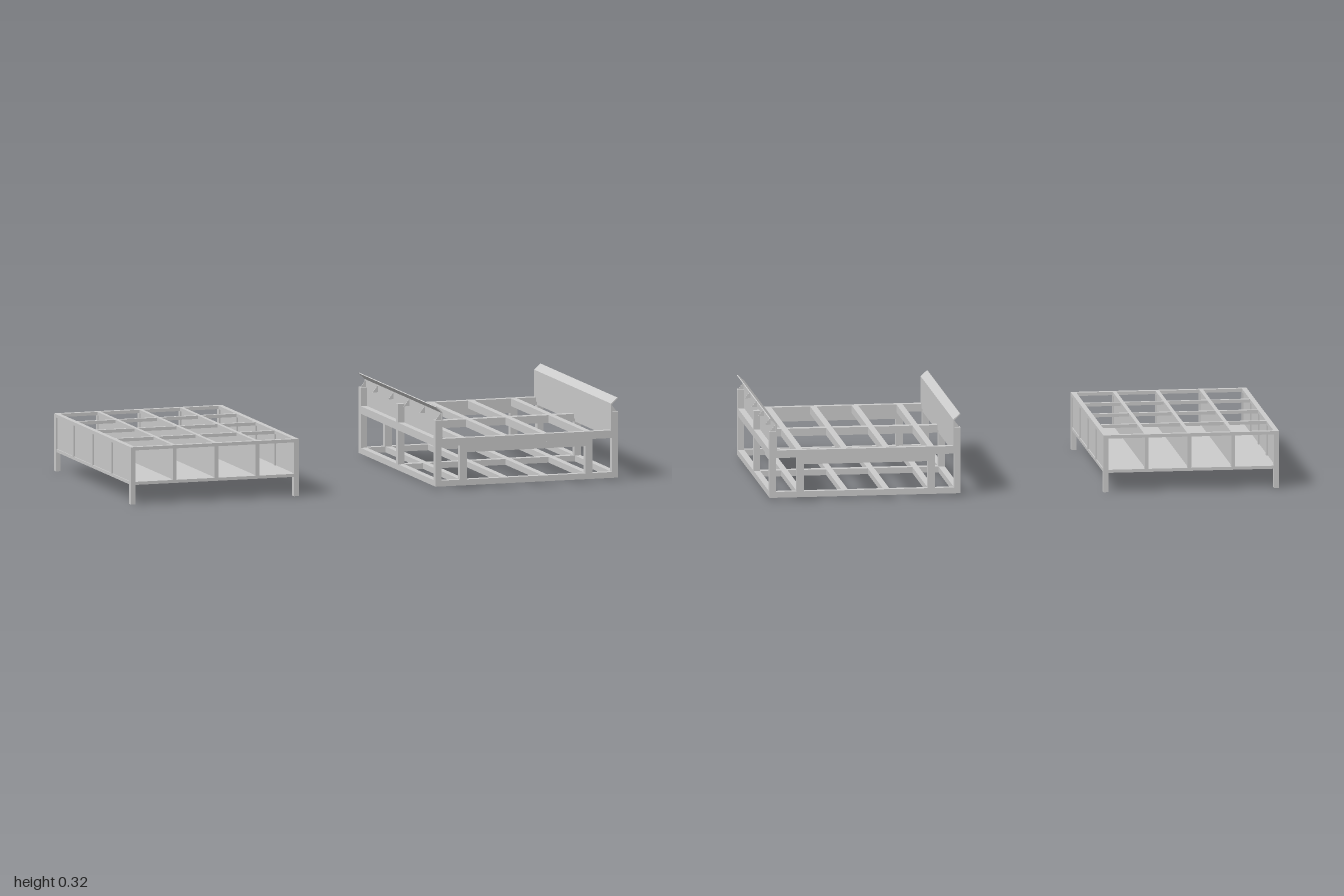
import * as THREE from 'three';

const material = new THREE.MeshStandardMaterial({ color: 0xcccccc, flatShading: true, side: THREE.DoubleSide });

// Box given by its extents on each axis
function bar(parent, name, [x0, x1], [y0, y1], [z0, z1]) {
  const mesh = new THREE.Mesh(new THREE.BoxGeometry(x1 - x0, y1 - y0, z1 - z0), material);
  mesh.position.set((x0 + x1) / 2, (y0 + y1) / 2, (z0 + z1) / 2);
  mesh.name = name;
  parent.add(mesh);
  return mesh;
}

// Profile in x and y, extruded along z
function extrusion(parent, name, points, z0, z1) {
  const shape = new THREE.Shape(points.map(([x, y]) => new THREE.Vector2(x, y)));
  const mesh = new THREE.Mesh(new THREE.ExtrudeGeometry(shape, { depth: z1 - z0, bevelEnabled: false }), material);
  mesh.position.z = z0;
  mesh.name = name;
  parent.add(mesh);
}

const around = (c, w) => [c - w / 2, c + w / 2];
const span = (a, b) => [Math.min(a, b), Math.max(a, b)];

// Open-topped tray with sixteen cells, standing on four legs
function createTray() {
  const tray = new THREE.Group();
  tray.name = 'dividedTray';
  const X = [-1, -0.31], Z = [-0.47, 0.465], top = [0.212, 0.225];
  const t = 0.02;

  bar(tray, 'floorPanel', [-0.998, -0.312], [0.076, 0.088], [-0.468, 0.463]);
  for (const x of [X[0], X[1] - t]) {
    for (const z of [Z[0], Z[1] - 0.025]) bar(tray, 'leg', [x, x + t], [0, 0.225], [z, z + 0.025]);
    bar(tray, 'sideTopRail', [x, x + t], top, Z);
    bar(tray, 'sidePanel', around(x + t / 2, 0.008), [0.088, 0.212], Z);
    for (const z of [-0.24, -0.007, 0.224]) bar(tray, 'sidePost', [x, x + t], [0.088, 0.212], around(z, 0.015));
  }
  for (const z of [Z[0], Z[1] - t]) bar(tray, 'endTopRail', X, top, [z, z + t]);

  // Lengthwise dividers with their end posts and top bars
  for (const x of [-0.82, -0.648, -0.48]) {
    bar(tray, 'divider', around(x, 0.006), [0.088, 0.212], Z);
    bar(tray, 'dividerTopBar', around(x, 0.015), top, Z);
    for (const z of [Z[0], Z[1] - t]) bar(tray, 'dividerPost', around(x, 0.015), [0.088, 0.212], [z, z + t]);
  }
  for (const z of [-0.24, -0.007, 0.224]) bar(tray, 'crossBar', X, top, around(z, 0.015));
  return tray;
}

// Two-level bar frame with raised side boards
function createBedFrame() {
  const bed = new THREE.Group();
  bed.name = 'bedFrame';
  const cx = 0.625, hx = 0.375, w = 0.025;
  const X = [cx - hx, cx + hx], Z = [-0.465, 0.47];
  const levels = [[0.01, 0.033], [0.167, 0.197]];

  // Rails, lengthwise bars and the middle cross bar on both levels
  for (const y of levels) {
    for (const z of [Z[0], Z[1] - w]) bar(bed, 'endRail', X, y, [z, z + w]);
    for (const x of [X[0], X[1] - w]) bar(bed, 'sideRail', [x, x + w], y, Z);
    for (const x of [0.365, 0.54, 0.703, 0.88]) bar(bed, 'lengthwiseBar', around(x, 0.025), y, Z);
    bar(bed, 'middleCrossBar', X, y, around(0.002, 0.03));
  }

  // Short posts and the lower rail between them at each end
  for (const z of [Z[0], Z[1] - w]) {
    for (const x of [0.365, 0.88]) bar(bed, 'endPost', around(x, 0.028), [0.033, 0.167], [z, z + w]);
    bar(bed, 'lowerEndRail', [0.379, 0.866], [0.14, 0.167], [z, z + w]);
  }

  for (const s of [-1, 1]) {
    const outer = cx + s * hx, inner = outer - s * w;
    for (const z of [Z[0] + 0.014, 0.002, Z[1] - 0.014]) {
      bar(bed, 'sidePost', span(outer, inner), [0.01, 0.27], around(z, 0.028));
    }

    // Side board with a flange leaning outwards
    extrusion(bed, 'sideBoard', [
      [inner, 0.18], [inner - s * 0.004, 0.18], [inner - s * 0.004, 0.302],
      [outer - s * 0.003, 0.325], [outer, 0.323], [inner, 0.299],
    ], Z[0], Z[1]);

    // Small triangular brackets behind the board
    for (const z of [-0.45, -0.305, -0.115, 0.075, 0.265, 0.457]) {
      extrusion(bed, 'boardBracket', [
        [outer - s * 0.003, 0.27], [inner, 0.27], [inner, 0.298],
      ], z - 0.0015, z + 0.0015);
    }
  }
  return bed;
}

export function createModel() {
  const model = new THREE.Group();
  model.name = 'trayAndBedFrame';
  model.add(createTray(), createBedFrame());
  return model;
}
